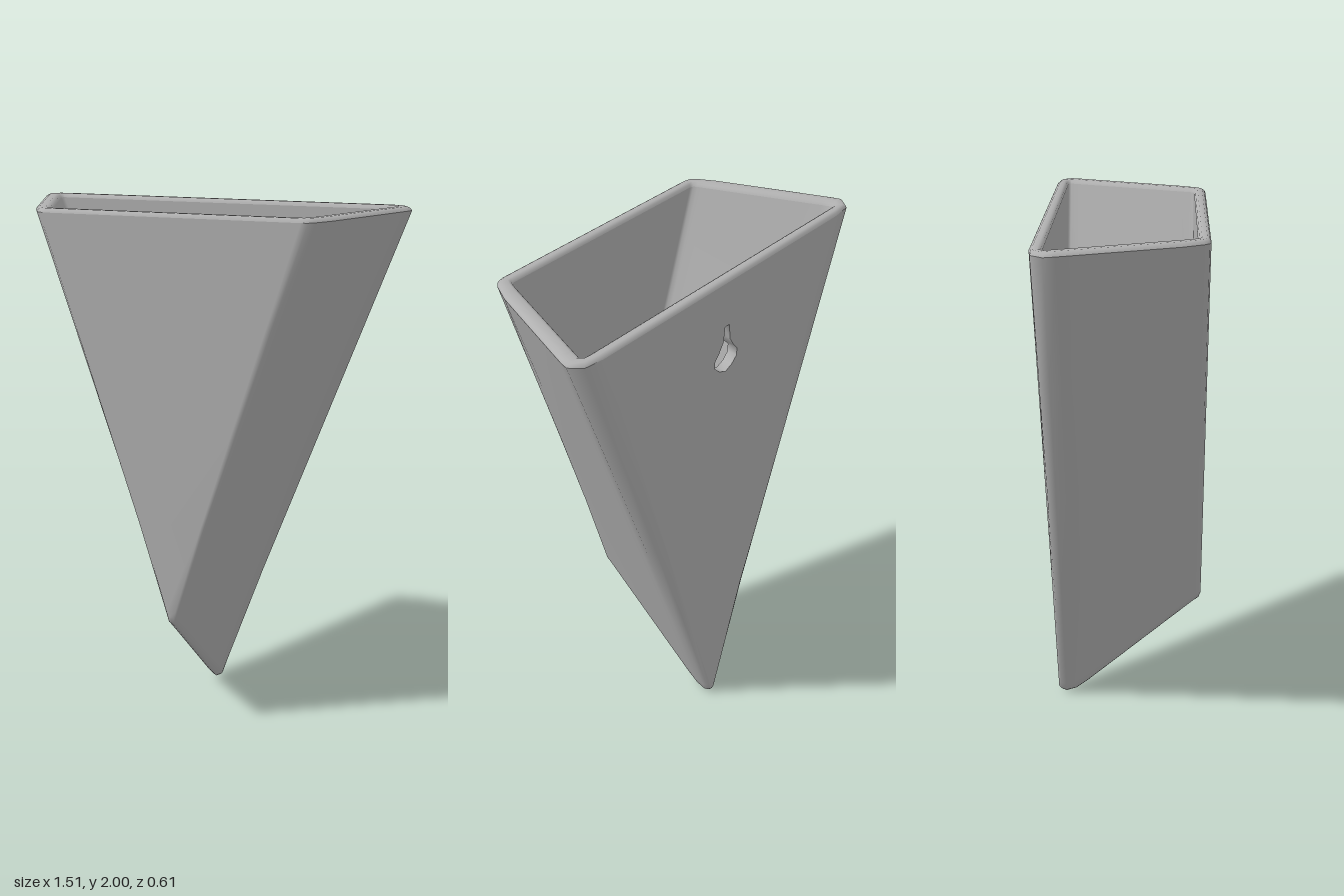
import * as THREE from 'three';
import { mergeGeometries, mergeVertices } from 'three/addons/utils/BufferGeometryUtils.js';

const TOP = 1.985; // height where the rounded rim starts
const lerp = THREE.MathUtils.lerp;

// Half outlines from back to front: [x at top, z at top, height of lowest point, z at lowest point]
const OUTER = [
  [0.64, -0.305, 0.02, -0.28], [0.72, -0.295, 0.008, -0.27], [0.755, -0.25, 0, -0.25],
  [0.742, -0.21, 0.012, -0.21], [0.722, -0.16, 0.05, -0.16], [0.577, 0.2, 0.36, 0.2],
  [0.535, 0.275, 0.42, 0.27], [0.515, 0.295, 0.435, 0.29], [0.49, 0.3, 0.455, 0.298],
];
const INNER = [
  [0.66, -0.26, 0.17, -0.26], [0.68, -0.26, 0.165, -0.26], [0.69, -0.25, 0.16, -0.25],
  [0.674, -0.21, 0.19, -0.21], [0.654, -0.16, 0.23, -0.16], [0.51, 0.2, 0.52, 0.2],
  [0.496, 0.235, 0.55, 0.235], [0.488, 0.25, 0.56, 0.25], [0.475, 0.255, 0.57, 0.255],
];
// Levels of the loft: [fraction of height, extra half width that rounds the keel]
const OUTER_LEVELS = [[0, 0], [0.004, 0.009], [0.02, 0.008], [0.25, 0], [0.5, 0], [0.75, 0], [1, 0]];
const INNER_LEVELS = [[0, 0], [0.25, 0], [0.5, 0], [0.75, 0], [1, 0]];

// Keyhole half outline, top to bottom
const KEYHOLE = [[0.012, 1.81], [0.018, 1.75], [0.04, 1.715], [0.062, 1.69], [0.062, 1.66], [0.035, 1.635], [0, 1.62]];

// One U-shaped section running from the right back corner round the front to the left back corner
function section(half, [t, extra]) {
  const right = half.map(([x, z, low, zLow]) =>
    new THREE.Vector3(x * t + extra, lerp(low, TOP, t), lerp(zLow, z, t)));
  const left = right.map(p => new THREE.Vector3(-p.x, p.y, p.z)).reverse();
  return [...right, ...left];
}

// Surface through rows of points
function skin(rows, closed = false, flip = false) {
  const n = rows[0].length, index = [];
  for (let r = 0; r < rows.length - 1; r++) {
    for (let j = 0; j < (closed ? n : n - 1); j++) {
      const k = (j + 1) % n;
      const a = r * n + j, b = r * n + k, c = a + n, d = b + n;
      index.push(...(flip ? [a, b, c, b, d, c] : [a, c, b, b, c, d]));
    }
  }
  const geo = new THREE.BufferGeometry().setFromPoints(rows.flat());
  geo.setIndex(index);
  return geo;
}

// Flat back panel with the keyhole, fitted to the open edges of a loft
function backPanel(rows, zAt, facesBack) {
  const right = rows.map(r => new THREE.Vector2(r[0].x, r[0].y));
  const left = right.slice(1).map(p => new THREE.Vector2(-p.x, p.y)).reverse();
  const shape = new THREE.Shape([...right, ...left]);
  shape.holes.push(new THREE.Path(keyholeLoop()));
  const geo = new THREE.ShapeGeometry(shape);
  const pos = geo.attributes.position;
  for (let i = 0; i < pos.count; i++) pos.setZ(i, zAt(pos.getY(i)));
  if (facesBack) geo.setIndex(Array.from(geo.index.array).reverse());
  geo.deleteAttribute('uv');
  geo.deleteAttribute('normal');
  return geo;
}

function keyholeLoop() {
  const right = KEYHOLE.map(([x, y]) => new THREE.Vector2(x, y));
  const left = right.slice(0, -1).map(p => new THREE.Vector2(-p.x, p.y)).reverse();
  return [...right, ...left];
}

// Weld pieces together so that the shading runs smoothly across them
function weld(...pieces) {
  const geo = mergeVertices(mergeGeometries(pieces), 1e-5);
  geo.computeVertexNormals();
  return geo;
}

export function createModel() {
  const group = new THREE.Group();
  group.name = 'wallPlanter';
  const ceramic = new THREE.MeshStandardMaterial({ color: 0xb0b0b0 });
  ceramic.name = 'grey ceramic';
  const add = (name, geo) => {
    const mesh = new THREE.Mesh(geo, ceramic);
    mesh.name = name;
    group.add(mesh);
  };

  const outerRows = OUTER_LEVELS.map(l => section(OUTER, l));
  const innerRows = INNER_LEVELS.map(l => section(INNER, l));
  const outerZ = y => lerp(-0.28, -0.305, (y - 0.02) / (TOP - 0.02));
  const innerZ = () => -0.26;

  // Outer shell: tapering sides and front, plus the wall-side panel
  add('outerShell', weld(skin(outerRows), backPanel(outerRows, outerZ, true)));

  // Hollow with a V-shaped floor
  add('innerCavity', weld(skin(innerRows, false, true), backPanel(innerRows, innerZ, false)));

  // Rounded rim bridging the two shells
  const outerTop = outerRows.at(-1), innerTop = innerRows.at(-1);
  const rimRows = [[0, 0], [0.1, 0.009], [0.3, 0.015], [0.7, 0.015], [0.9, 0.009], [1, 0]].map(([f, h]) =>
    outerTop.map((p, i) => p.clone().lerp(innerTop[i], f).setY(TOP + h)));
  add('rim', weld(skin(rimRows, true)));

  // Wall of the hanging hole
  const holeRows = [innerZ, outerZ].map(zAt =>
    keyholeLoop().map(p => new THREE.Vector3(p.x, p.y, zAt(p.y))));
  add('hangingHole', weld(skin(holeRows, true)));

  return group;
}
